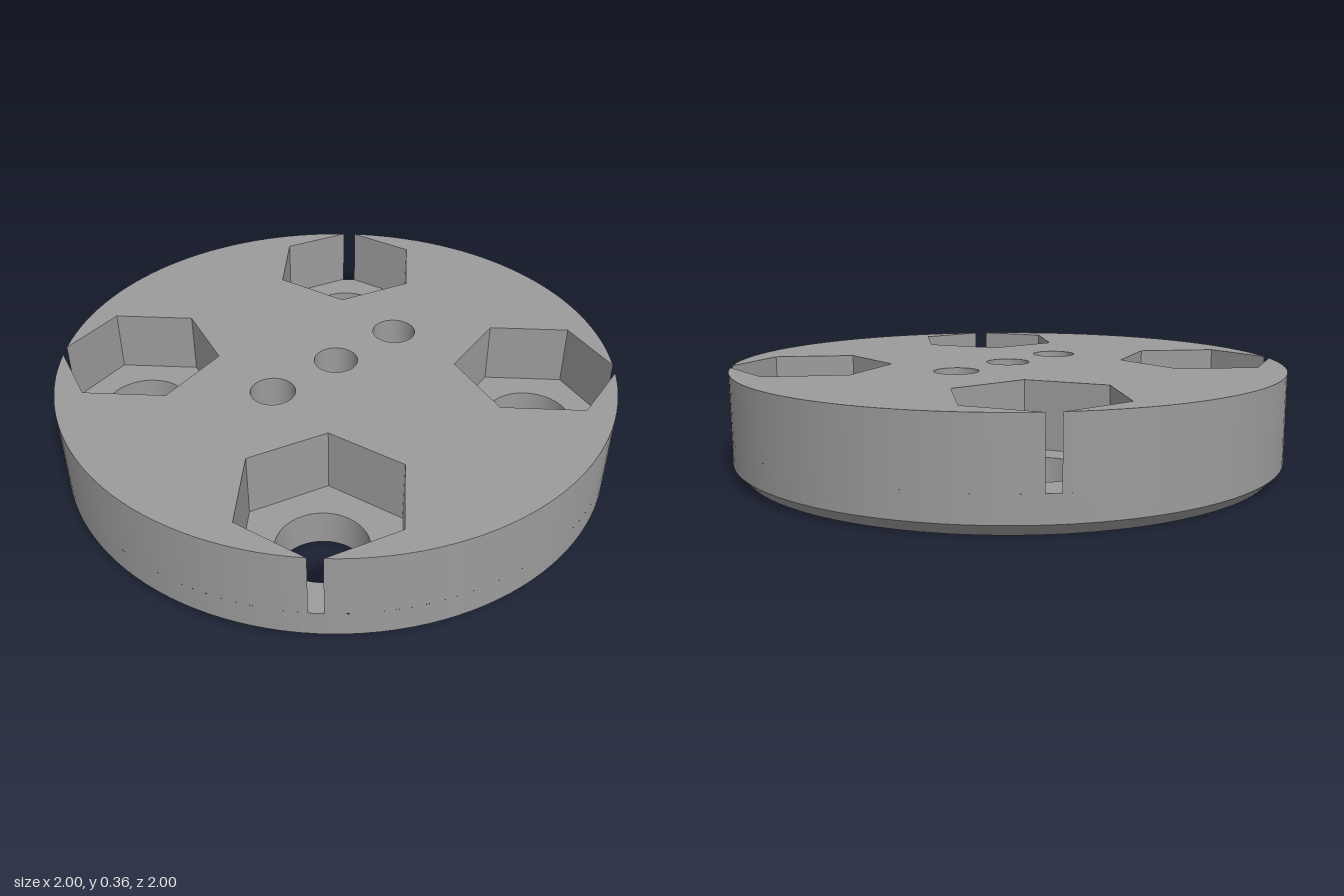
import * as THREE from 'three';

const H = 0.36, FLOOR = 0.13, CHAMFER = 0.04, BASE_R = 0.963;
const BOLT_D = 0.721, BOLT_R = 0.155;          // four large bores
const PIN_R = 0.079, SINK_R = 0.093, SINK_H = 0.08; // three small stepped bores
const SLOT = 0.024;                            // half angle of each rim slot
const HEX_R = Math.cos(SLOT) + Math.sin(SLOT) / Math.sqrt(3) - BOLT_D;
const ANGLES = [0, 1, 2, 3].map(k => Math.PI / 4 + k * Math.PI / 2);
const PINS = [-0.293, 0, 0.293];

const polar = (r, a) => new THREE.Vector2(r * Math.cos(a), r * Math.sin(a));

// Hexagonal pocket whose outermost corner is cut off by the rim
function pocketOutline(a) {
  const pts = [polar(1, a + SLOT)];
  for (let i = 1; i <= 5; i++) pts.push(polar(BOLT_D, a).add(polar(HEX_R, a + i * Math.PI / 3)));
  pts.push(polar(1, a - SLOT));
  return pts;
}

function circleHole(x, y, r) {
  const p = new THREE.Path();
  p.absarc(x, y, r, 0, Math.PI * 2, true);
  return p;
}

// Flat horizontal face, looking up or down
function cap(shape, y, up = true) {
  const g = new THREE.ShapeGeometry(shape, 32);
  g.rotateX(up ? -Math.PI / 2 : Math.PI / 2);
  return g.translate(0, y, 0);
}

// Surface of revolution: rising profiles face outward, falling ones inward
function turned(r0, y0, r1, y1, segments = 128, start = 0, length = Math.PI * 2) {
  return new THREE.LatheGeometry(
    [new THREE.Vector2(r0, y0), new THREE.Vector2(r1, y1)], segments, start, length);
}

// Flat-sided walls facing into a pocket
function pocketWalls(pts, y0, y1) {
  const v = [];
  for (let i = 0; i < pts.length - 1; i++) {
    const p = pts[i], q = pts[i + 1];
    v.push(p.x, y0, -p.y, p.x, y1, -p.y, q.x, y1, -q.y);
    v.push(p.x, y0, -p.y, q.x, y1, -q.y, q.x, y0, -q.y);
  }
  const g = new THREE.BufferGeometry();
  g.setAttribute('position', new THREE.Float32BufferAttribute(v, 3));
  g.computeVertexNormals();
  return g;
}

export function createModel() {
  const group = new THREE.Group();
  group.name = 'slottedDisc';
  const grey = new THREE.MeshStandardMaterial({ color: 0x9c9c9c });
  grey.name = 'grey';
  const add = (name, geometry, x = 0, z = 0) => {
    const m = new THREE.Mesh(geometry, grey);
    m.name = name;
    m.position.set(x, 0, z);
    group.add(m);
  };

  // Top face, notched by the pockets
  const outline = [];
  for (const a of ANGLES) {
    const from = a - Math.PI / 2 + SLOT, span = Math.PI / 2 - 2 * SLOT;
    for (let i = 0; i < 32; i++) outline.push(polar(1, from + span * i / 32));
    outline.push(...pocketOutline(a).reverse().slice(0, -1));
  }
  const top = new THREE.Shape(outline);
  PINS.forEach(z => top.holes.push(circleHole(0, z, PIN_R)));
  add('topFace', cap(top, H));

  // Bottom face with all seven bores
  const bottom = new THREE.Shape();
  bottom.absarc(0, 0, BASE_R, 0, Math.PI * 2, false);
  PINS.forEach(z => bottom.holes.push(circleHole(0, z, SINK_R)));
  for (const a of ANGLES) {
    const c = polar(BOLT_D, a);
    bottom.holes.push(circleHole(c.x, c.y, BOLT_R));
  }
  bottom.curves.forEach(c => { c.arcLengthDivisions = 200; });
  add('bottomFace', cap(bottom, 0, false));

  // Rim: chamfer, unbroken lower band
  add('chamfer', turned(BASE_R, 0, 1, CHAMFER));
  add('lowerRim', turned(1, CHAMFER, 1, FLOOR));

  for (const a of ANGLES) {
    const pts = pocketOutline(a), c = polar(BOLT_D, a);
    // Upper rim between two slots
    add('upperRim', turned(1, FLOOR, 1, H, 32, a + SLOT, Math.PI / 2 - 2 * SLOT));
    // Pocket with floor and through bore
    add('pocketWalls', pocketWalls(pts, FLOOR, H));
    const floor = new THREE.Shape(pts);
    floor.holes.push(circleHole(c.x, c.y, BOLT_R));
    add('pocketFloor', cap(floor, FLOOR));
    add('largeBore', turned(BOLT_R, FLOOR, BOLT_R, 0, 64), c.x, -c.y);
  }

  // Small bores, widened from below
  for (const z of PINS) {
    add('smallBore', turned(PIN_R, H, PIN_R, SINK_H, 64), 0, z);
    add('counterbore', turned(SINK_R, SINK_H, SINK_R, 0, 64), 0, z);
    const ring = new THREE.RingGeometry(PIN_R, SINK_R, 64);
    add('counterboreStep', ring.rotateX(Math.PI / 2).translate(0, SINK_H, 0), 0, z);
  }
  return group;
}
